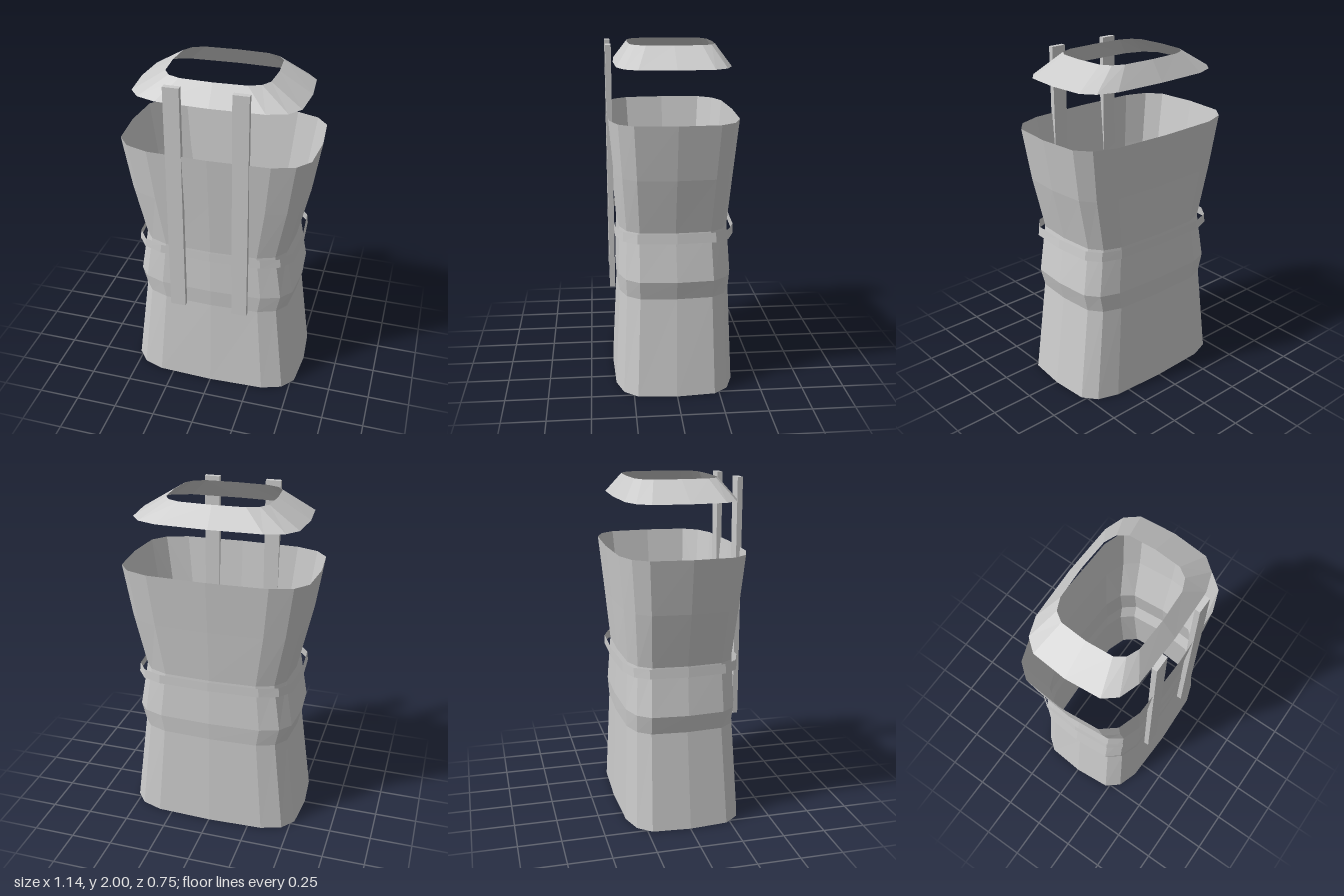
import * as THREE from 'three';

// One quadrant of the rounded-rectangle section, as fractions of the half-width and half-depth
const QUADRANT = [[1, 0], [0.965, 0.625], [0.845, 0.848], [0.618, 0.966]];

// Full 16-point section, each quadrant mirrored from the first
function section() {
  const pts = [];
  const q = [...QUADRANT, [0, 1]];
  const half = [...q, ...q.slice(0, -1).reverse().map(([x, z]) => [-x, z])];
  pts.push(...half, ...half.slice(1, -1).map(([x, z]) => [-x, -z]));
  return pts;
}

// Open-ended shell through rings of [y, halfWidth, halfDepth, zOffset], bottom to top
function shell(name, rings, material) {
  const sec = section();
  const n = sec.length;
  const positions = [];
  const index = [];
  for (const [y, rx, rz, cz = 0] of rings) {
    for (const [x, z] of sec) positions.push(x * rx, y, z * rz + cz);
  }
  for (let r = 0; r < rings.length - 1; r++) {
    for (let i = 0; i < n; i++) {
      const j = (i + 1) % n;
      const a = r * n + i, b = r * n + j, c = a + n, d = b + n;
      index.push(a, c, b, b, c, d);
    }
  }
  const geometry = new THREE.BufferGeometry();
  geometry.setAttribute('position', new THREE.Float32BufferAttribute(positions, 3));
  geometry.setIndex(index);
  geometry.computeVertexNormals();
  const mesh = new THREE.Mesh(geometry, material);
  mesh.name = name;
  return mesh;
}

export function createModel() {
  const group = new THREE.Group();
  group.name = 'tunic';
  const cloth = new THREE.MeshStandardMaterial({
    color: 0xcccccc, flatShading: true, side: THREE.DoubleSide,
  });

  // Garment body: flared hem, waist fold, pinched waist, wide chest
  group.add(shell('body', [
    [0, 0.54, 0.36, 0.002],
    [0.58, 0.467, 0.333, -0.002],
    [0.69, 0.495, 0.339, -0.002],
    [0.97, 0.447, 0.325, 0.003],
    [1.29, 0.52, 0.35, 0.002],
    [1.6, 0.57, 0.377, 0],
  ], cloth));

  // Belt band standing clear of the waist
  group.add(shell('belt', [
    [0.92, 0.492, 0.355, -0.002],
    [0.975, 0.485, 0.354, -0.002],
  ], cloth));

  // Sloping collar above the body
  group.add(shell('collar', [
    [1.885, 0.495, 0.331, 0],
    [2, 0.305, 0.249, -0.001],
  ], cloth));

  // Two straight straps down the front
  for (const side of [-1, 1]) {
    const strap = new THREE.Mesh(new THREE.BoxGeometry(0.092, 1.42, 0.031), cloth);
    strap.position.set(side * 0.19 - 0.002, 1.29, 0.36);
    strap.name = side > 0 ? 'leftStrap' : 'rightStrap';
    group.add(strap);
  }
  return group;
}
